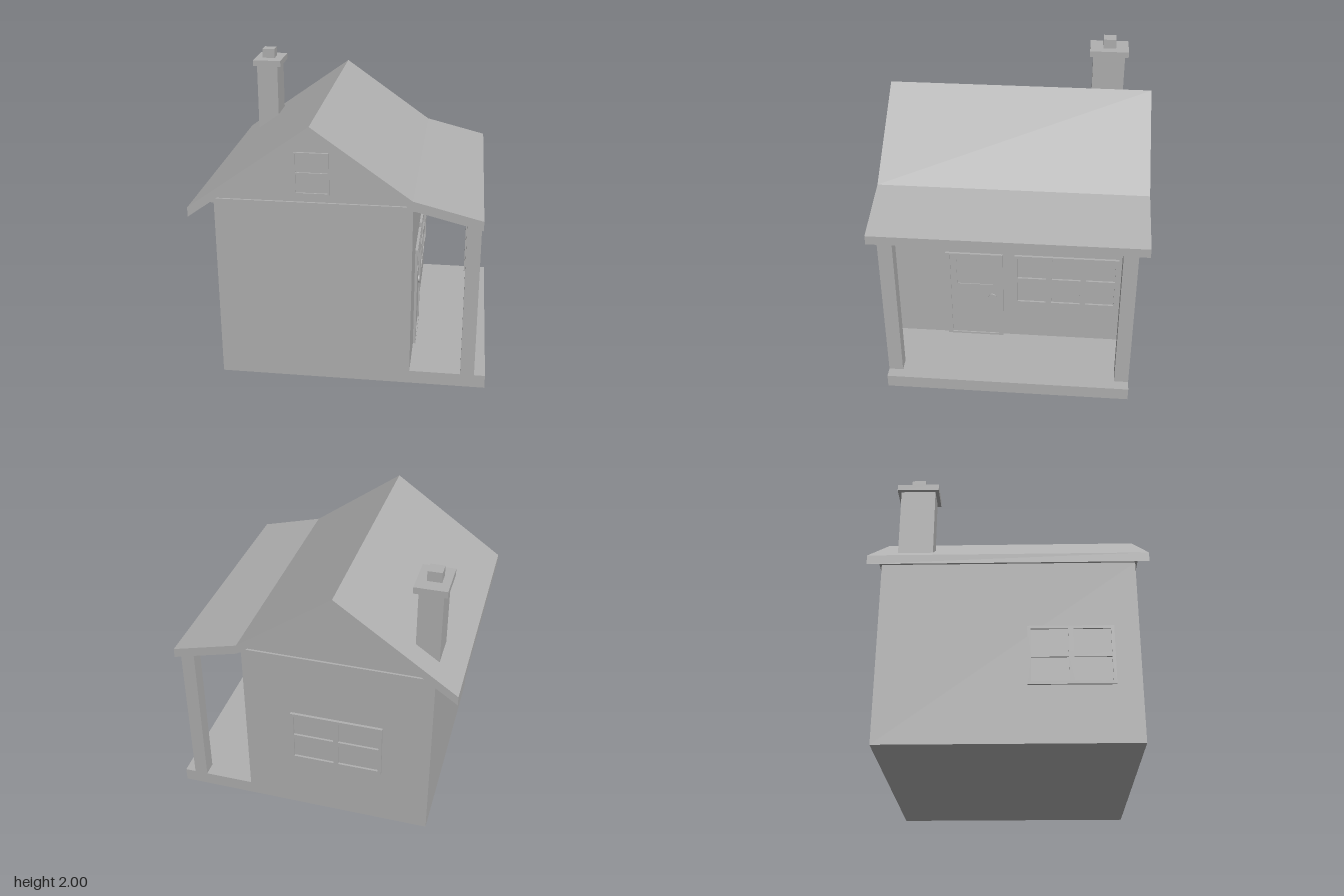
import * as THREE from 'three';

const grey = new THREE.MeshStandardMaterial({ color: 0xb0b0b0 });
grey.name = 'plain grey';

export function createModel() {
  const house = new THREE.Group();
  house.name = 'house';

  const add = (name, geometry, parent = house) => {
    const mesh = new THREE.Mesh(geometry, grey);
    mesh.name = name;
    parent.add(mesh);
    return mesh;
  };
  // Box given by its limits on each axis
  const box = (name, x0, x1, y0, y1, z0, z1, parent) => {
    const mesh = add(name, new THREE.BoxGeometry(x1 - x0, y1 - y0, z1 - z0), parent);
    mesh.position.set((x0 + x1) / 2, (y0 + y1) / 2, (z0 + z1) / 2);
    return mesh;
  };
  // Profile in x and y, extruded evenly to both sides of z = 0
  const prism = (name, points, halfDepth) => {
    const shape = new THREE.Shape(points.map(([x, y]) => new THREE.Vector2(x, y)));
    const geometry = new THREE.ExtrudeGeometry(shape, { depth: 2 * halfDepth, bevelEnabled: false });
    add(name, geometry.translate(0, 0, -halfDepth));
  };
  const rectangle = (Type, x0, x1, y0, y1) => new Type([
    new THREE.Vector2(x0, y0), new THREE.Vector2(x1, y0),
    new THREE.Vector2(x1, y1), new THREE.Vector2(x0, y1),
  ]);
  // Frame with openings, centred at its bottom and facing +z
  const frame = (name, w, h, openings, depth, parent) => {
    const shape = rectangle(THREE.Shape, -w / 2, w / 2, 0, h);
    openings.forEach((o) => shape.holes.push(rectangle(THREE.Path, ...o)));
    return add(name, new THREE.ExtrudeGeometry(shape, { depth, bevelEnabled: false }), parent);
  };
  const makeWindow = (name, w, h, columns, rows, border, bar, depth) => {
    const group = new THREE.Group();
    group.name = name;
    const paneW = (w - 2 * border - (columns - 1) * bar) / columns;
    const paneH = (h - 2 * border - (rows - 1) * bar) / rows;
    const openings = [];
    for (let c = 0; c < columns; c++) {
      for (let r = 0; r < rows; r++) {
        const x = -w / 2 + border + c * (paneW + bar);
        const y = border + r * (paneH + bar);
        openings.push([x, x + paneW, y, y + paneH]);
      }
    }
    frame('windowFrame', w, h, openings, depth, group);
    box('windowPanes', -w / 2 + 0.005, w / 2 - 0.005, 0.005, h - 0.005, 0, 0.004, group);
    house.add(group);
    return group;
  };

  // Walls, trim under the gables and gable ends
  box('walls', -0.84, 0.48, 0, 1.29, -0.86, 0.86);
  box('eavesTrim', -0.855, 0.49, 1.29, 1.32, -0.875, 0.875);
  prism('gables', [[-0.838, 1.32], [0.48, 1.32], [-0.18, 1.786]], 0.86);

  // Roof sheet with the shallower porch slope
  prism('roof', [
    [-1, 1.205], [-0.18, 1.785], [0.48, 1.32], [0.935, 1.205],
    [0.935, 1.27], [0.48, 1.385], [-0.18, 1.852], [-1, 1.27],
  ], 0.933);

  // Porch
  box('porchFloor', 0.48, 1, 0, 0.095, -0.86, 0.86);
  for (const side of [-1, 1]) {
    const post = box('porchPost', 0.83, 0.925, 0.095, 1.24, 0.76, 0.86);
    post.position.z *= side;
  }

  // Chimney
  box('chimneyStack', -0.84, -0.68, 1.3, 1.885, -0.755, -0.515);
  box('chimneyCap', -0.865, -0.65, 1.885, 1.93, -0.78, -0.49);
  box('chimneyPot', -0.81, -0.715, 1.93, 2, -0.685, -0.59);

  // Windows
  const porchWindow = makeWindow('porchWindow', 0.745, 0.43, 3, 2, 0.022, 0.04, 0.018);
  porchWindow.position.set(0.48, 0.41, -0.3875);
  porchWindow.rotation.y = Math.PI / 2;

  const backWindow = makeWindow('backWindow', 0.65, 0.4, 2, 2, 0.022, 0.035, 0.02);
  backWindow.position.set(-0.18, 0.44, -0.86);
  backWindow.rotation.y = Math.PI;

  const sideWindow = makeWindow('sideWindow', 0.57, 0.415, 2, 2, 0.022, 0.035, 0.014);
  sideWindow.position.set(-0.84, 0.395, 0.41);
  sideWindow.rotation.y = -Math.PI / 2;

  const gableWindow = makeWindow('gableWindow', 0.23, 0.285, 1, 2, 0.01, 0.014, 0.015);
  gableWindow.position.set(-0.18, 1.375, 0.86);

  // Door with frame, glazed opening and knob
  const door = new THREE.Group();
  door.name = 'door';
  frame('doorFrame', 0.415, 0.745, [[-0.175, 0.175, 0.015, 0.73]], 0.018, door);
  const leaf = frame('doorLeaf', 0.35, 0.715, [[-0.13, 0.135, 0.455, 0.67]], 0.009, door);
  leaf.position.y = 0.015;
  box('doorPane', -0.14, 0.145, 0.46, 0.69, 0, 0.003, door);
  const knob = add('doorKnob', new THREE.CylinderGeometry(0.028, 0.028, 0.012, 20), door);
  knob.rotation.x = Math.PI / 2;
  knob.position.set(0.128, 0.36, 0.014);
  door.position.set(0.48, 0.095, 0.278);
  door.rotation.y = Math.PI / 2;
  house.add(door);

  return house;
}
